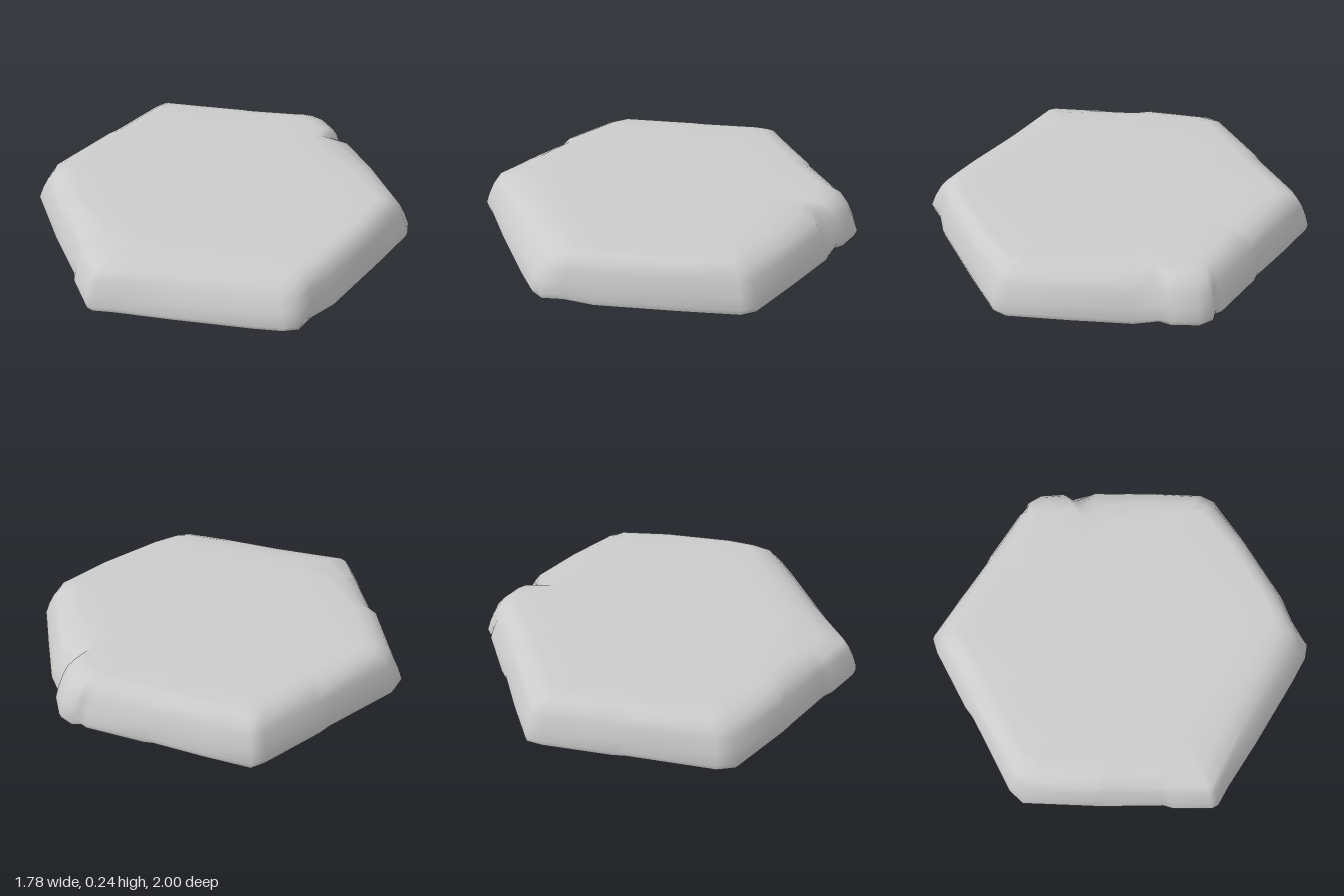
import * as THREE from 'three';

// Chipped hexagonal outline: x, z, shoulder inset, top inset
const outline = [
  [-0.87, -0.53, 0.07, 0.19], [-0.66, -0.65, 0.07, 0.18], [-0.43, -0.77, 0.06, 0.17],
  [-0.40, -0.80, 0.08, 0.18], [-0.13, -0.95, 0.08, 0.18], [-0.09, -0.95, 0.05, 0.16],
  [-0.06, -0.99, 0.08, 0.20], [0.02, -1.00, 0.09, 0.21], [0.14, -0.94, 0.08, 0.18],
  [0.18, -0.90, 0.13, 0.24], [0.30, -0.86, 0.08, 0.26], [0.56, -0.71, 0.07, 0.20],
  [0.83, -0.55, 0.09, 0.21], [0.87, -0.48, 0.08, 0.17], [0.88, -0.18, 0.05, 0.13],
  [0.89, 0.22, 0.06, 0.14], [0.86, 0.37, 0.05, 0.14], [0.87, 0.48, 0.10, 0.24],
  [0.82, 0.54, 0.12, 0.27], [0.69, 0.62, 0.11, 0.25], [0.35, 0.81, 0.10, 0.26],
  [0.10, 0.94, 0.08, 0.30], [0.01, 0.995, 0.08, 0.34], [-0.03, 0.995, 0.08, 0.34],
  [-0.20, 0.90, 0.08, 0.25], [-0.24, 0.86, 0.06, 0.20], [-0.48, 0.73, 0.08, 0.18],
  [-0.55, 0.69, 0.05, 0.17], [-0.86, 0.50, 0.09, 0.22], [-0.89, 0.41, 0.07, 0.18],
  [-0.88, -0.03, 0.05, 0.16], [-0.89, -0.10, 0.07, 0.17], [-0.885, -0.45, 0.07, 0.18],
];

// Cross-section levels: height, share of shoulder inset, share of the shoulder-to-top step
const levels = [
  [0, 0.12, 0], [0.03, 0, 0], [0.09, 0.25, 0], [0.15, 0.6, 0],
  [0.195, 1, 0], [0.222, 1, 0.45], [0.234, 1, 1],
];

function stoneShell() {
  const positions = [], index = [], n = outline.length;
  const ring = (place) => outline.forEach((p) => positions.push(...place(p)));

  // Rounded, leaning side wall
  for (const [y, a, b] of levels) {
    ring(([x, z, shoulder, top]) => {
      const r = Math.hypot(x, z);
      const k = 1 - (shoulder * a + (top - shoulder) * b) / r;
      return [x * k, y, z * k];
    });
  }
  // Nearly level top
  for (const s of [0.6, 0.3]) {
    ring(([x, z]) => [x * s, 0.236, z * s]);
  }
  const rings = levels.length + 2;
  const centre = positions.length / 3;
  positions.push(0, 0.236, 0);

  for (let i = 0; i < n; i++) {
    const j = (i + 1) % n;
    for (let r = 0; r < rings - 1; r++) {
      const a = r * n + i, b = r * n + j, c = a + n, d = b + n;
      index.push(b, a, c, b, c, d);
    }
    index.push((rings - 1) * n + j, (rings - 1) * n + i, centre);
  }
  const geometry = new THREE.BufferGeometry();
  geometry.setAttribute('position', new THREE.Float32BufferAttribute(positions, 3));
  geometry.setIndex(index);
  geometry.computeVertexNormals();
  return geometry;
}

export function createModel() {
  const group = new THREE.Group();
  group.name = 'hexagonalStoneTile';
  // Hollow underneath, so both sides show
  const material = new THREE.MeshStandardMaterial({ color: 0xcccccc, side: THREE.DoubleSide });
  const slab = new THREE.Mesh(stoneShell(), material);
  slab.name = 'stoneSlab';
  group.add(slab);
  return group;
}
